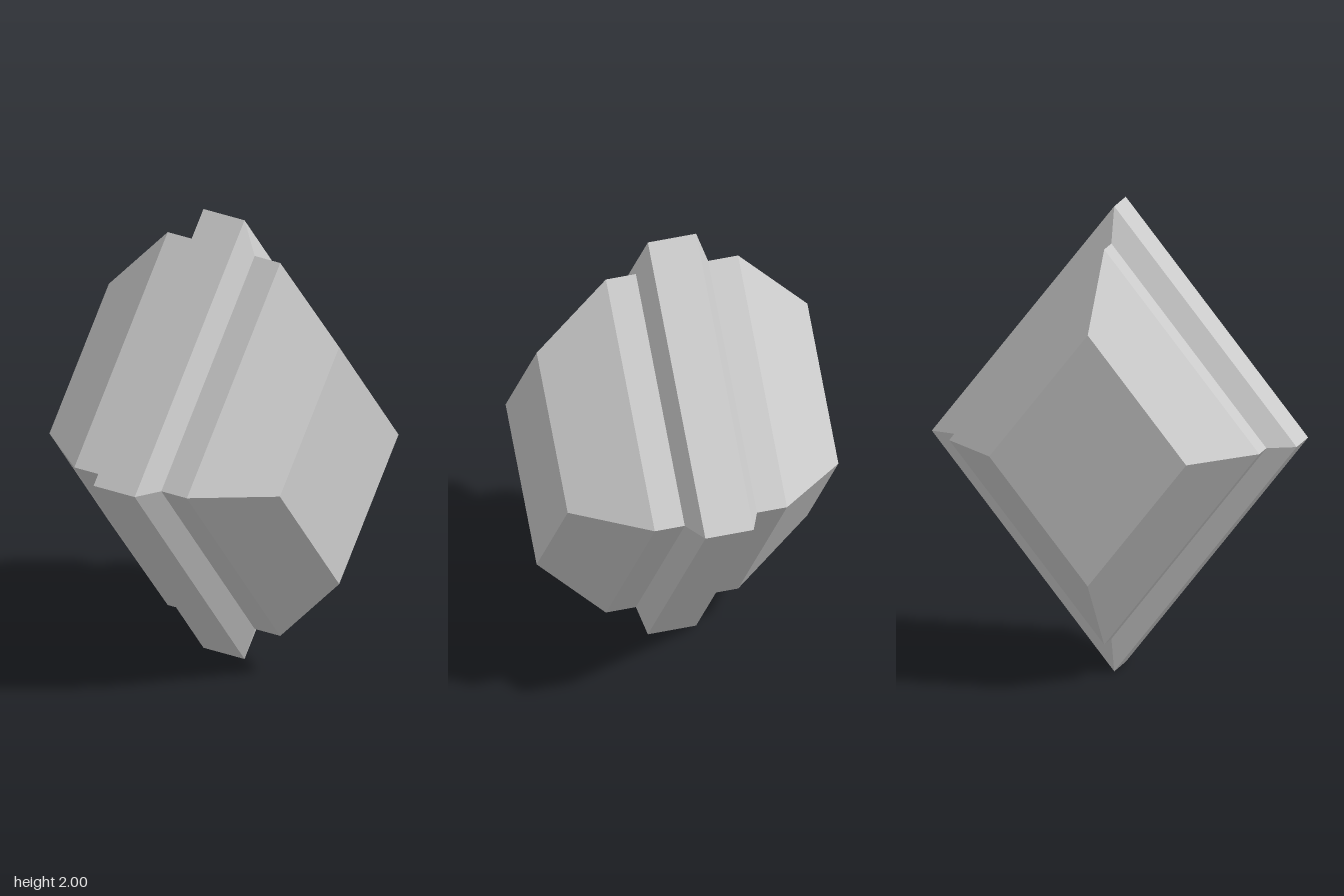
import * as THREE from 'three';

const DEPTH = 0.79; // depth of the diamond section relative to its height

// Four-sided lathe along x, from [x, radius] points; flip mirrors it to -x.
function diamondPart(name, profile, material, flip = false) {
  const points = profile.map(([x, r]) => new THREE.Vector2(r, x));
  const geometry = new THREE.LatheGeometry(points, 4);
  geometry.rotateZ(flip ? Math.PI / 2 : -Math.PI / 2);
  geometry.scale(1, 1, DEPTH);
  geometry.computeVertexNormals();
  const mesh = new THREE.Mesh(geometry, material);
  mesh.name = name;
  mesh.position.y = 1;
  return mesh;
}

export function createModel() {
  const group = new THREE.Group();
  group.name = 'diamondBead';
  const material = new THREE.MeshStandardMaterial({ color: 0xcccccc, flatShading: true });

  // Raised band with bevelled sides around the middle
  group.add(diamondPart('centreBand', [[-0.16, 0.85], [-0.107, 1], [0.107, 1], [0.16, 0.85]], material));

  // Tapered, closed ends on both sides
  const end = [[0.16, 0.85], [0.293, 0.85], [0.6, 0.54], [0.6, 0]];
  group.add(diamondPart('leftEnd', end, material));
  group.add(diamondPart('rightEnd', end, material, true));

  return group;
}
